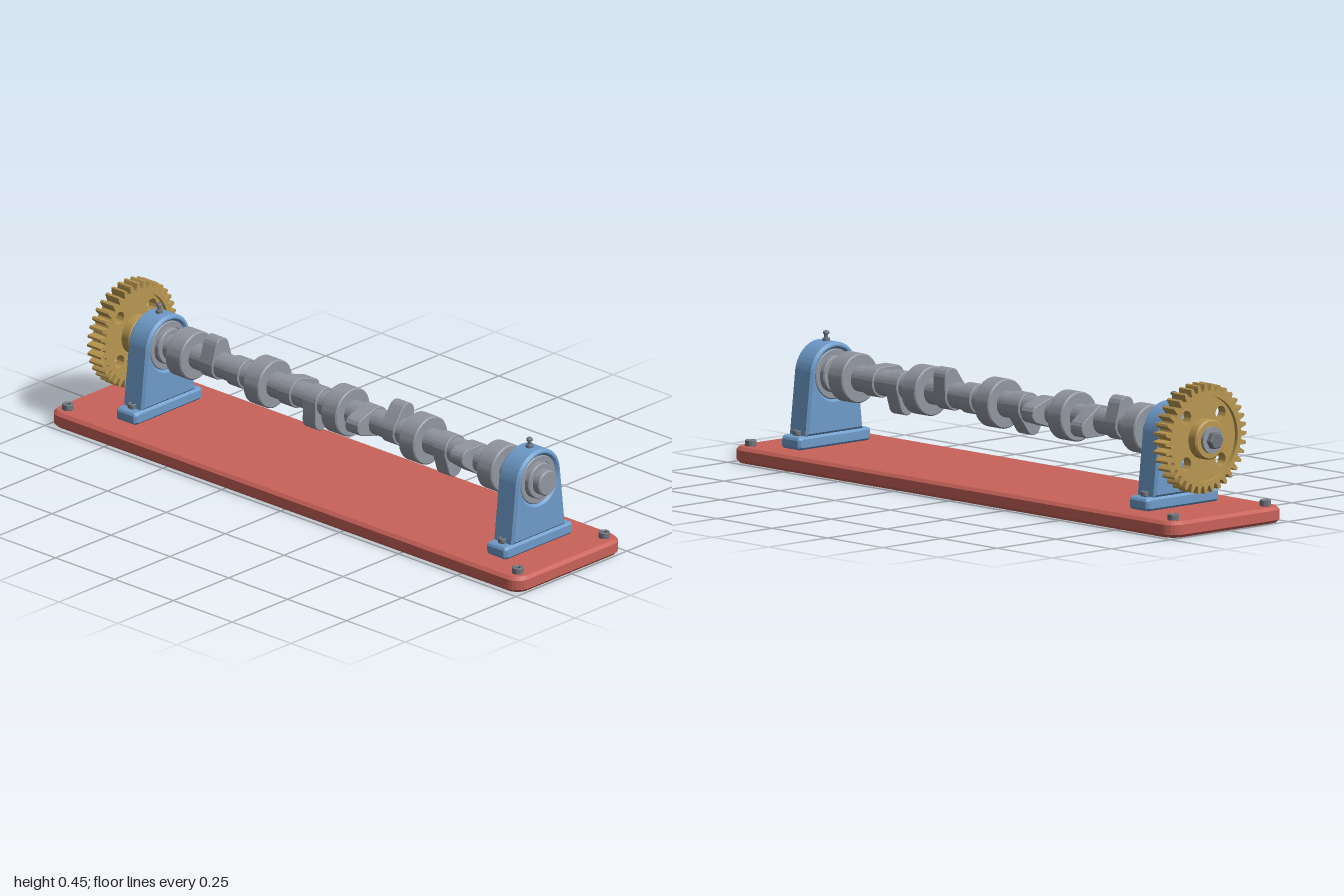
import * as THREE from 'three';
import { toCreasedNormals } from 'three/addons/utils/BufferGeometryUtils.js';

const material = (name, color) => Object.assign(new THREE.MeshStandardMaterial({ color }), { name });
const red = material('red paint', 0xc8625a);
const blue = material('blue paint', 0x6e9bca);
const gold = material('brass', 0xb89650);
const steel = material('steel', 0x9296a0);
const bolt = material('dark steel', 0x6f757d);

const AXIS = 0.275; // height of the shaft centre line

function add(parent, name, geometry, mat, x = 0, y = 0, z = 0) {
  const mesh = new THREE.Mesh(toCreasedNormals(geometry, 0.5), mat);
  mesh.name = name;
  mesh.position.set(x, y, z);
  parent.add(mesh);
  return mesh;
}

// Extrusion centred on z, chamfered without growing the outline
function extrude(shape, width, bevel = 0) {
  const g = new THREE.ExtrudeGeometry(shape, {
    depth: width - 2 * bevel, bevelEnabled: bevel > 0, bevelThickness: bevel,
    bevelSize: bevel, bevelOffset: -bevel, bevelSegments: 1, curveSegments: 32,
  });
  return g.translate(0, 0, bevel - width / 2);
}
const extrudeX = (shape, width, bevel) => extrude(shape, width, bevel).rotateY(Math.PI / 2);
const extrudeY = (shape, height, bevel) => extrude(shape, height, bevel).rotateX(-Math.PI / 2);

// Turned part from [radius, position] pairs
const turned = (pts, segments = 48) =>
  new THREE.LatheGeometry(pts.map(([r, p]) => new THREE.Vector2(r, p)), segments);
const turnedX = (pts, segments) => turned(pts, segments).rotateZ(-Math.PI / 2);

function roundedRect(w, h, r) {
  const s = new THREE.Shape(), x = w / 2 - r, y = h / 2 - r, q = Math.PI / 2;
  s.absarc(x, y, r, 0, q);
  s.absarc(-x, y, r, q, 2 * q);
  s.absarc(-x, -y, r, 2 * q, 3 * q);
  s.absarc(x, -y, r, 3 * q, 4 * q);
  s.closePath();
  return s;
}

const circle = (r, x = 0, y = 0, Type = THREE.Shape) => {
  const c = new Type();
  c.absarc(x, y, r, 0, Math.PI * 2);
  return c;
};

const polygon = (n, r, Type = THREE.Shape) => new Type(Array.from({ length: n }, (_, i) =>
  new THREE.Vector2(r * Math.cos(i / n * 2 * Math.PI), r * Math.sin(i / n * 2 * Math.PI))));

// Round bolt head with a hexagonal socket, standing on y
function socketBolt(parent, name, r, h, x, y, z) {
  const head = circle(r);
  head.holes.push(polygon(6, r * 0.5, THREE.Path));
  add(parent, name, extrudeY(head, h, 0.002), bolt, x, y + h / 2, z);
  add(parent, name + 'Socket', new THREE.CylinderGeometry(r * 0.6, r * 0.6, h * 0.4, 16), bolt, x, y + h * 0.2, z);
}

function bearingBlock(x) {
  const g = new THREE.Group();
  g.name = 'bearingBlock';
  g.position.x = x;

  add(g, 'blockFoot', extrudeX(roundedRect(0.308, 0.042, 0.014), 0.085, 0.008), blue, 0, 0.071);

  // Tapered housing with a round top and a bore
  const s = new THREE.Shape();
  s.moveTo(-0.121, 0.091);
  s.lineTo(0.121, 0.091);
  s.absarc(0, AXIS, 0.1, 0.12, Math.PI - 0.12);
  s.closePath();
  s.holes.push(circle(0.079, 0, AXIS, THREE.Path));
  add(g, 'blockHousing', extrudeX(s, 0.085, 0.008), blue);

  // Bearing: outer race, recessed shield, inner collar; same on both sides
  const half = [[0.079, 0.035], [0.076, 0.038], [0.062, 0.038], [0.062, 0.032],
    [0.058, 0.032], [0.058, 0.048], [0.055, 0.052], [0, 0.052]];
  const profile = [...half.map(([r, p]) => [r, -p]).reverse(), ...half];
  add(g, 'bearing', turnedX(profile), steel, 0, AXIS);

  // Grease nipple
  add(g, 'greaseNipple', turned([[0, 0], [0.012, 0], [0.012, 0.012], [0.006, 0.014], [0.006, 0.024],
    [0.01, 0.026], [0.01, 0.031], [0.007, 0.035], [0, 0.035]], 16), bolt, 0, 0.371);

  for (const side of [-1, 1]) socketBolt(g, 'footBolt', 0.014, 0.016, 0, 0.092, side * 0.123);
  return g;
}

// Cam outline: base circle joined to a small nose circle by tangents
function camShape(angle) {
  const base = 0.048, nose = 0.03, reach = 0.06;
  const t = Math.acos((base - nose) / reach), up = Math.PI / 2 - angle;
  const s = new THREE.Shape();
  s.absarc(reach * Math.cos(up), reach * Math.sin(up), nose, up - t, up + t);
  s.absarc(0, 0, base, up + t, up - t + Math.PI * 2);
  s.closePath();
  return s;
}

function camshaft() {
  const g = new THREE.Group();
  g.name = 'camshaft';
  g.position.y = AXIS;
  add(g, 'shaft', turnedX([[0, -0.925], [0.037, -0.925], [0.041, -0.921], [0.041, 0.897],
    [0.037, 0.901], [0, 0.901]]), steel);

  const journal = [[0, -0.033], [0.074, -0.033], [0.078, -0.029], [0.078, 0.029], [0.074, 0.033], [0, 0.033]];
  for (let i = 0; i < 5; i++) add(g, 'journal', turnedX(journal), steel, -0.62 + i * 0.33);

  // Two lobes between each pair of journals, the second trailing the first
  [0, 90, 270, 180].forEach((phase, i) => {
    for (const k of [0, 1]) {
      const a = THREE.MathUtils.degToRad(phase + k * 108);
      add(g, 'camLobe', extrudeX(camShape(a), 0.055, 0.002), steel, -0.51 + i * 0.33 + k * 0.11);
    }
  });
  return g;
}

function timingGear() {
  const g = new THREE.Group();
  g.name = 'timingGear';
  g.position.set(-0.867, AXIS, 0);

  // Toothed rim
  const teeth = 36, pitch = Math.PI * 2 / teeth, pts = [];
  const flank = [[0.149, -0.38], [0.154, -0.29], [0.163, -0.24], [0.170, -0.17], [0.172, -0.12],
    [0.172, 0.12], [0.170, 0.17], [0.163, 0.24], [0.154, 0.29], [0.149, 0.38]];
  for (let i = 0; i < teeth; i++) {
    for (const [r, f] of flank) {
      const a = Math.PI / 2 + (i + f) * pitch;
      pts.push(new THREE.Vector2(r * Math.cos(a), r * Math.sin(a)));
    }
  }
  const rim = new THREE.Shape(pts);
  rim.holes.push(circle(0.134, 0, 0, THREE.Path));
  add(g, 'gearRim', extrudeX(rim, 0.056), gold);

  // Recessed web with four lightening holes
  const web = circle(0.136);
  for (let i = 0; i < 4; i++) {
    const a = (i + 0.5) * Math.PI / 2;
    web.holes.push(circle(0.021, 0.103 * Math.cos(a), 0.103 * Math.sin(a), THREE.Path));
  }
  add(g, 'gearWeb', extrudeX(web, 0.032), gold);

  add(g, 'gearHub', turnedX([[0, -0.05], [0.058, -0.05], [0.063, -0.045], [0.063, 0.045],
    [0.058, 0.05], [0, 0.05]]), gold);

  // Retaining washer and hex bolt on the outer end
  add(g, 'gearWasher', turnedX([[0, -0.06], [0.042, -0.06], [0.042, -0.045], [0, -0.045]]), steel);
  add(g, 'gearBolt', extrudeX(polygon(6, 0.028), 0.024, 0.003), bolt, -0.068);
  return g;
}

export function createModel() {
  const model = new THREE.Group();
  model.name = 'camshaftStand';

  add(model, 'basePlate', extrudeY(roundedRect(2, 0.482, 0.05), 0.051, 0.01), red, 0, 0.0255);
  for (const x of [-0.955, 0.955]) {
    for (const z of [-0.195, 0.195]) socketBolt(model, 'baseBolt', 0.018, 0.02, x, 0.05, z);
  }

  model.add(bearingBlock(-0.75), bearingBlock(0.822), camshaft(), timingGear());
  return model;
}
